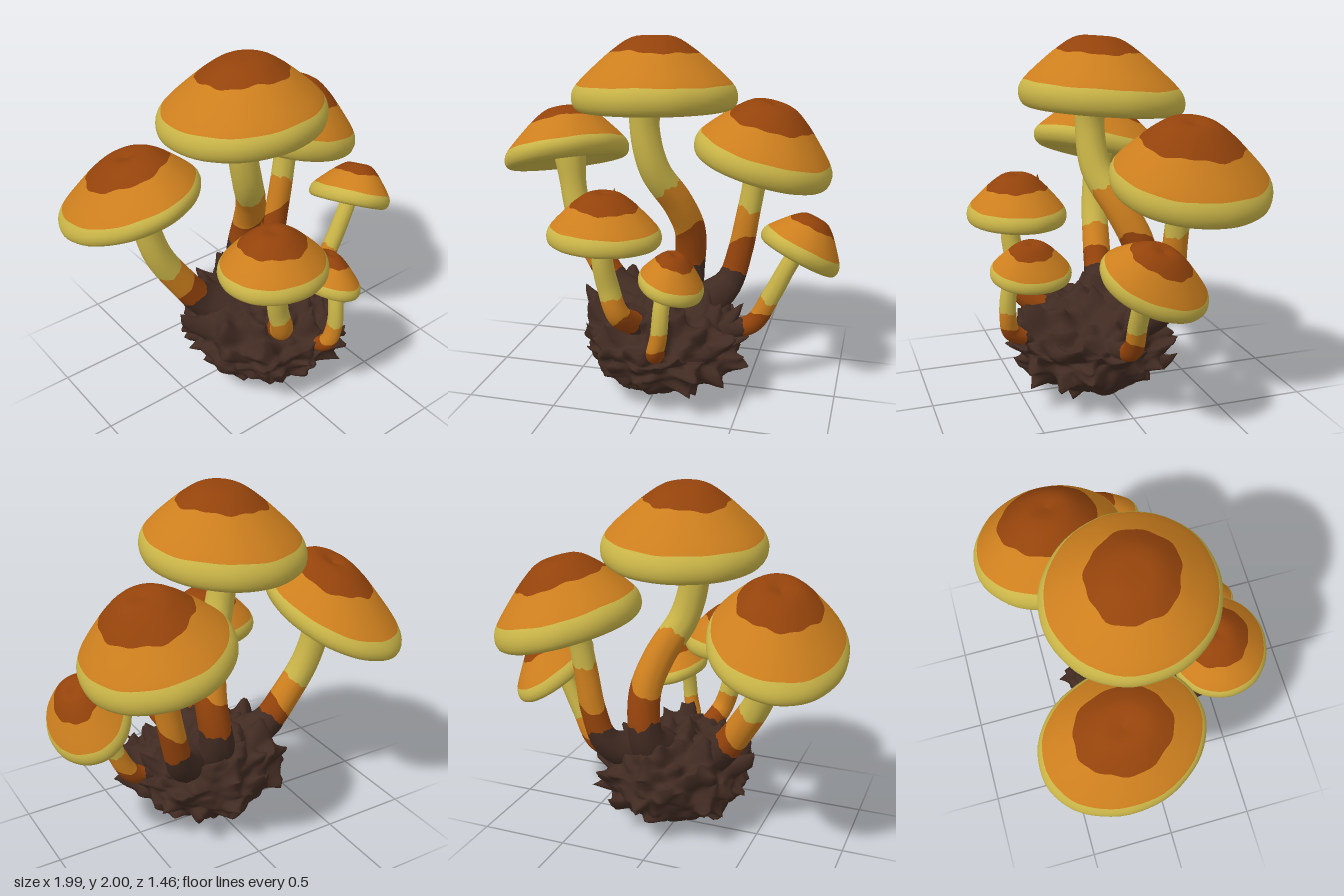
import * as THREE from 'three';
import { mergeVertices } from 'three/addons/utils/BufferGeometryUtils.js';

const V = (x, y, z) => new THREE.Vector3(x, y, z);
const paint = (name, color) => Object.assign(new THREE.MeshStandardMaterial({ color }), { name });

let seed = 7;
const rand = () => {
  seed = (seed * 16807) % 2147483647;
  return seed / 2147483647;
};

// Irregular edge around a ring, between about -1 and 1
const wobble = (a, s) =>
  0.5 * Math.sin(2 * a + s) + 0.3 * Math.sin(5 * a + 2.3 * s) + 0.2 * Math.sin(11 * a + 4.1 * s);

// Closed tube of rings; breaks(angle) gives the t where each colour band starts and ends
function skin(name, breaks, rowsPerBand, segs, point, materials) {
  const pos = [], index = [], g = new THREE.BufferGeometry();
  const ring = (band, f) => {
    for (let i = 0; i < segs; i++) {
      const a = (i / segs) * Math.PI * 2, b = breaks(a);
      pos.push(...point(THREE.MathUtils.lerp(b[band], b[band + 1], f), a).toArray());
    }
  };
  ring(0, 0);
  let row = 0;
  rowsPerBand.forEach((rows, band) => {
    const start = index.length;
    for (let k = 1; k <= rows; k++, row++) {
      ring(band, k / rows);
      for (let i = 0; i < segs; i++) {
        const n = (i + 1) % segs, a = row * segs, b = a + segs;
        index.push(a + i, a + n, b + i, a + n, b + n, b + i);
      }
    }
    g.addGroup(start, index.length - start, band);
  });
  g.setAttribute('position', new THREE.Float32BufferAttribute(pos, 3));
  g.setIndex(index);
  g.computeVertexNormals();
  const mesh = new THREE.Mesh(g, materials);
  mesh.name = name;
  return mesh;
}

// Cap outline from apex, over the rim, to the stem (radius, height)
const capProfile = new THREE.CatmullRomCurve3([
  [0.001, 1], [0.25, 0.93], [0.5, 0.71], [0.7, 0.49], [0.88, 0.27], [0.97, 0.12], [1, -0.04],
  [0.97, -0.2], [0.9, -0.26], [0.8, -0.21], [0.55, -0.06], [0.2, 0.02], [0.05, 0.05],
].map(([x, y]) => V(x, y, 0)));

// slope: rise of the rim along x and z; apex: offset from rim centre to the top;
// dome: extra fullness of the shoulder; rust: size of the dark patch
function cap({ centre, radius, slope, apex, dome, rust }, s, m) {
  const c = V(...centre), up = V(...apex);
  const U = V(radius[0], slope[0] * radius[0], 0), W = V(0, slope[1] * radius[1], radius[1]);
  const point = (t, a) => {
    const p = capProfile.getPoint(t);
    const r = p.x * (1 + 0.012 * wobble(a, s + 3));
    const bulge = t < 0.5 ? dome * p.x * Math.max(0, 1 - p.x) * Math.max(0, p.y) : 0;
    return c.clone().addScaledVector(U, r * Math.cos(a)).addScaledVector(W, r * Math.sin(a))
      .addScaledVector(up, p.y + bulge);
  };
  const breaks = a => [0, (rust + 0.2 * wobble(a, s)) / 12, (4.55 + 0.14 * wobble(a, s + 1)) / 12, 1];
  return skin('cap', breaks, [8, 8, 22], 56, point, [m.rust, m.orange, m.yellow]);
}

const rootCentre = V(0.035, 0.3, 0.08);

// path runs from the cap to the ground, then into the root; bands are the heights of colour changes
function stem({ path, r, bands }, s, m) {
  const points = path.map(p => V(...p));
  points.push(points[points.length - 1].clone().lerp(rootCentre, 0.45));
  const curve = new THREE.CatmullRomCurve3(points);
  const tAt = y => {
    let lo = 0, hi = 1;
    for (let i = 0; i < 20; i++) {
      const mid = (lo + hi) / 2;
      if (curve.getPoint(mid).y > y) lo = mid; else hi = mid;
    }
    return lo;
  };
  const ts = bands.map(tAt);
  const point = (t, a) => {
    const T = curve.getTangent(t);
    const U = V(1, 0, 0).addScaledVector(T, -T.x).normalize();
    const W = T.clone().cross(U);
    const flare = 1 + 0.45 * THREE.MathUtils.smoothstep(t, ts[2], 1)
      + 0.3 * (1 - THREE.MathUtils.smoothstep(t, 0, 0.16));
    const R = r * (0.8 + 0.2 * t) * flare * (1 + 0.04 * wobble(a, s + 3 * t));
    return curve.getPoint(t).addScaledVector(U, R * Math.cos(a)).addScaledVector(W, R * Math.sin(a));
  };
  // The rust band climbs higher on the front left side
  const breaks = a => [
    0,
    ts[0] + 0.02 * wobble(a, s),
    THREE.MathUtils.lerp(ts[1], ts[2], 0.15 - 0.3 * Math.cos(a - 0.8)) + 0.01 * wobble(a, s + 1),
    ts[2] + 0.02 * wobble(a, s + 2),
    1,
  ];
  return skin('stem', breaks, [14, 8, 8, 6], 28, point, [m.yellow, m.orange, m.rust, m.brown]);
}

function mushroom(name, s, m, capSpec, stemSpec) {
  const group = new THREE.Group();
  group.name = name;
  group.add(cap(capSpec, s, m), stem(stemSpec, s + 2, m));
  return group;
}

// Rounded lump covered in bark-like spikes, higher at the back and right
function rootBall(material) {
  let g = new THREE.IcosahedronGeometry(1, 24);
  g.deleteAttribute('uv');
  g.deleteAttribute('normal');
  g = mergeVertices(g, 1e-4);
  const N = 230, spikes = [];
  for (let i = 0; i < N; i++) {
    const y = 1 - (2 * i + 1) / N, q = Math.sqrt(1 - y * y), a = i * 2.39996 + rand() * 0.4;
    const h = (0.04 + 0.15 * rand()) * (y < -0.5 ? 0.5 : 1);
    spikes.push({ d: V(q * Math.cos(a), y, q * Math.sin(a)), h, w: 0.12 + 0.11 * rand(),
      lean: V(rand() - 0.5, rand() * 1.2 - 0.2, rand() - 0.5) });
  }
  const P = g.attributes.position, v = V(0, 0, 0), shift = V(0, 0, 0);
  for (let i = 0; i < P.count; i++) {
    const n = v.fromBufferAttribute(P, i).normalize().clone();
    shift.set(0, 0, 0);
    for (const { d, h, w, lean } of spikes) {
      const k = 1 - n.distanceTo(d) / w;
      if (k > 0) shift.addScaledVector(d, h * k).addScaledVector(lean, h * k * k);
    }
    const p = n.y > 0 ? 2.6 : 2.1;
    v.divideScalar((Math.hypot(n.x, n.z) ** p + Math.abs(n.y) ** p) ** (1 / p));
    v.multiply(V(0.39, n.y > 0 ? 0.2 - 0.07 * n.x - 0.08 * n.z : 0.255, 0.41));
    v.addScaledVector(shift, 0.55).add(rootCentre);
    P.setXYZ(i, v.x, Math.max(0, v.y), v.z);
  }
  g.computeVertexNormals();
  const mesh = new THREE.Mesh(g, material);
  mesh.name = 'rootBall';
  return mesh;
}

export function createModel() {
  const m = {
    yellow: paint('pale yellow', 0xcab548),
    orange: paint('orange', 0xcd7f1e),
    rust: paint('rust', 0x94430b),
    brown: paint('dark brown', 0x412b22),
  };
  const model = new THREE.Group();
  model.name = 'mushroomCluster';

  model.add(mushroom('tallMushroom', 0.6, m,
    { centre: [-0.05, 1.68, -0.005], radius: [0.45, 0.455], slope: [0.03, 0.08],
      apex: [0, 0.32, 0.02], dome: 0.25, rust: 2.1 },
    { r: 0.097, bands: [1.17, 0.92, 0.69], path: [[-0.08, 1.74, 0.04], [-0.09, 1.5, 0.05],
      [-0.04, 1.27, 0.03], [0.07, 1.05, -0.08], [0.12, 0.85, -0.17], [0.1, 0.6, -0.2]] }));

  model.add(mushroom('rightMushroom', 2.3, m,
    { centre: [-0.64, 1.275, -0.22], radius: [0.36, 0.435], slope: [0.22, 0.27],
      apex: [0, 0.25, 0.015], dome: 0.9, rust: 2.4 },
    { r: 0.092, bands: [0.81, 0.68, 0.59], path: [[-0.62, 1.33, -0.18], [-0.55, 0.95, -0.13],
      [-0.43, 0.72, -0.1], [-0.3, 0.54, -0.07]] }));

  model.add(mushroom('leftMushroom', 4, m,
    { centre: [0.51, 1.3, -0.3], radius: [0.39, 0.43], slope: [-0.26, 0.03],
      apex: [0.06, 0.3, 0.02], dome: 0.6, rust: 2.55 },
    { r: 0.079, bands: [1.01, 0.83, 0.63], path: [[0.5, 1.35, -0.26], [0.44, 0.97, -0.25],
      [0.4, 0.74, -0.25], [0.34, 0.55, -0.22]] }));

  model.add(mushroom('middleMushroom', 5.7, m,
    { centre: [-0.2, 1.02, 0.45], radius: [0.3, 0.28], slope: [-0.02, 0.03],
      apex: [0, 0.21, -0.01], dome: 0.6, rust: 2.5 },
    { r: 0.064, bands: [0.67, 0.56, 0.49], path: [[-0.19, 1.06, 0.48], [-0.2, 0.9, 0.49],
      [-0.18, 0.74, 0.47], [-0.13, 0.57, 0.45]] }));

  model.add(mushroom('smallFrontMushroom', 7.4, m,
    { centre: [0.165, 0.785, 0.465], radius: [0.167, 0.22], slope: [-0.3, 0.02],
      apex: [0.02, 0.15, 0], dome: 0.7, rust: 2.3 },
    { r: 0.05, bands: [0.56, 0.46, 0.39], path: [[0.15, 0.81, 0.54], [0.14, 0.69, 0.58],
      [0.13, 0.54, 0.59], [0.1, 0.42, 0.56]] }));

  model.add(mushroom('smallSideMushroom', 9.1, m,
    { centre: [0.775, 0.865, 0], radius: [0.21, 0.275], slope: [-0.5, 0.28],
      apex: [0.075, 0.175, -0.01], dome: 0.7, rust: 2.3 },
    { r: 0.057, bands: [0.57, 0.49, 0.39], path: [[0.79, 0.92, 0.02], [0.71, 0.77, 0.03],
      [0.63, 0.6, 0.03], [0.52, 0.41, 0.02]] }));

  model.add(rootBall(m.brown));

  // Small peak on the back of the middle cap
  const peak = new THREE.Mesh(new THREE.ConeGeometry(0.045, 0.12, 10), m.rust);
  peak.name = 'capPeak';
  peak.position.set(-0.18, 1.175, 0.335);
  peak.rotation.x = -0.1;
  model.add(peak);
  return model;
}
